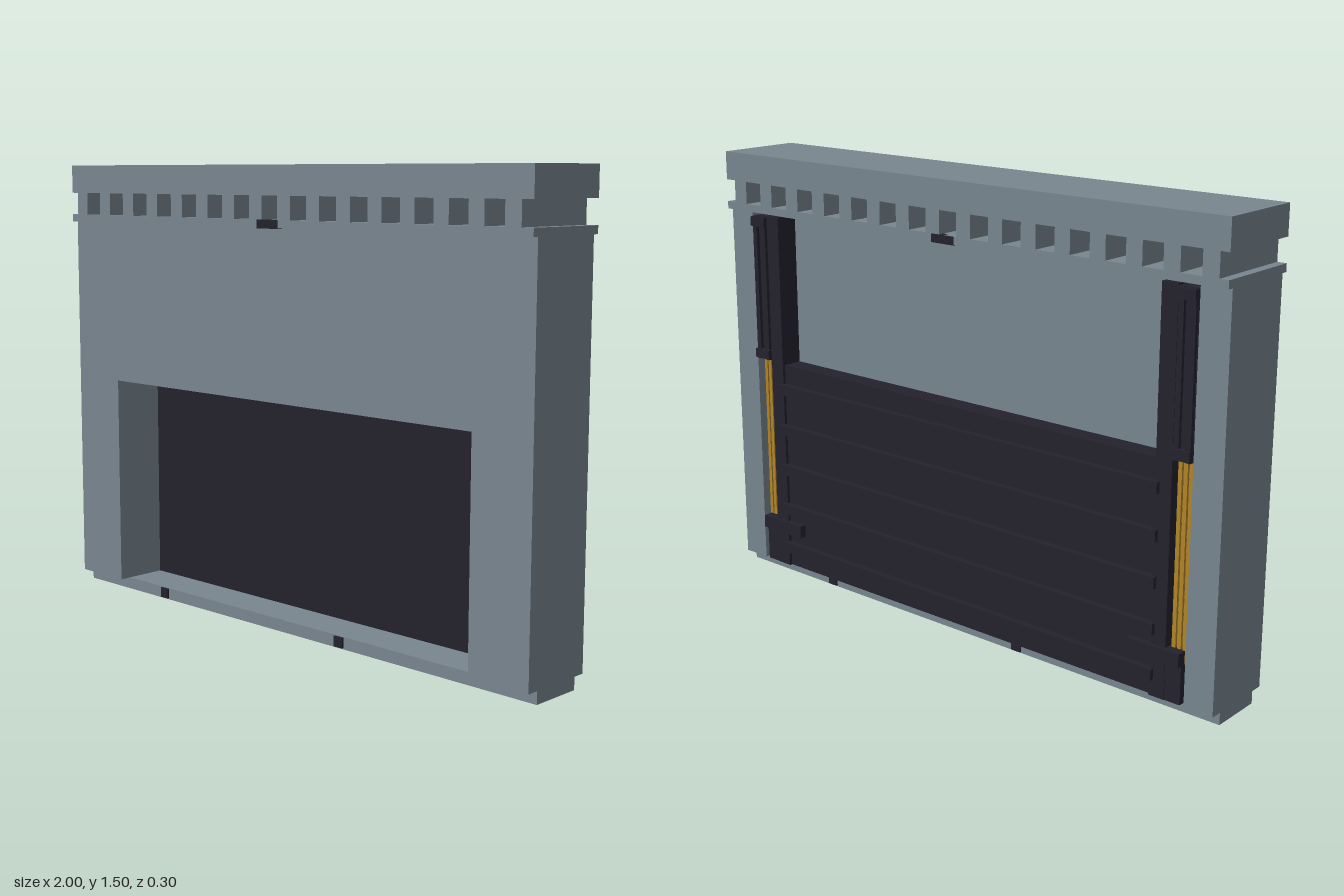
import * as THREE from 'three';

const stone = new THREE.MeshStandardMaterial({ color: 0x78868f });
stone.name = 'slateStone';
const iron = new THREE.MeshStandardMaterial({ color: 0x23222d });
iron.name = 'darkIron';
const brass = new THREE.MeshStandardMaterial({ color: 0xb08428 });
brass.name = 'brass';

// Box given by its lower and upper limits on each axis
function box(parent, name, material, [x0, x1], [y0, y1], [z0, z1]) {
  const mesh = new THREE.Mesh(new THREE.BoxGeometry(Math.abs(x1 - x0), y1 - y0, z1 - z0), material);
  mesh.position.set((x0 + x1) / 2, (y0 + y1) / 2, (z0 + z1) / 2);
  mesh.name = name;
  parent.add(mesh);
  return mesh;
}

// Outline in x and y, extruded from z0 to z1
function slab(parent, name, material, points, holes, z0, z1) {
  const shape = new THREE.Shape(points.map(([x, y]) => new THREE.Vector2(x, y)));
  for (const h of holes) shape.holes.push(new THREE.Path(h.map(([x, y]) => new THREE.Vector2(x, y))));
  const geometry = new THREE.ExtrudeGeometry(shape, { depth: z1 - z0, bevelEnabled: false });
  geometry.translate(0, 0, z0);
  const mesh = new THREE.Mesh(geometry, material);
  mesh.name = name;
  parent.add(mesh);
}

function buildMasonry() {
  const g = new THREE.Group();
  g.name = 'masonry';
  box(g, 'sill', stone, [-1, 1], [0, 0.04], [-0.09, 0.09]);

  // Front wall with the doorway cut up from its foot
  slab(g, 'frontWall', stone, [
    [-0.9, 0.04], [-0.788, 0.04], [-0.788, 0.755], [0.785, 0.755],
    [0.785, 0.04], [0.9, 0.04], [0.9, 1.305], [-0.9, 1.305],
  ], [], -0.05, 0.13);
  for (const s of [-1, 1]) box(g, 'pillar', stone, [s * 0.9, s], [0.04, 1.305], [-0.13, 0.13]);

  // Crowning beam, pierced by a row of square holes and notched at its ends
  const low = 1.33, high = 1.405, holes = [];
  for (let i = 0; i < 15; i++) {
    const x = -0.881 + i * 0.125;
    holes.push([[x - 0.035, low], [x - 0.035, high], [x + 0.035, high], [x + 0.035, low]]);
  }
  slab(g, 'crownBeam', stone, [
    [-1, 1.305], [1, 1.305], [1, low], [0.96, low], [0.96, high], [1, high],
    [1, 1.5], [-1, 1.5], [-1, high], [-0.97, high], [-0.97, low], [-1, low],
  ], holes, -0.15, 0.15);
  return g;
}

function buildGate() {
  const g = new THREE.Group();
  g.name = 'gate';
  box(g, 'gatePanel', iron, [-0.8, 0.8], [0.04, 0.78], [-0.12, -0.051]);
  // Cross ribs on the back
  for (let i = 0; i < 5; i++) {
    const y = 0.112 + i * 0.146;
    box(g, 'gateRib', iron, [-0.79, 0.79], [y - 0.018, y + 0.018], [-0.144, -0.11]);
  }
  return g;
}

// Guide rail, counterweight housing and brass rods on one side
function buildLift(s) {
  const g = new THREE.Group();
  g.name = s > 0 ? 'leftLift' : 'rightLift';
  const add = (name, m, [a, b], y, z) => box(g, name, m, [s * a, s * b], y, z);
  add('guideRail', iron, [0.775, 0.83], [0.04, 1.295], [-0.13, -0.051]);
  add('housing', iron, [0.83, 0.895], [0.79, 1.29], [-0.125, -0.051]);
  for (const x of [0.835, 0.875]) add('housingStrip', iron, [x, x + 0.018], [0.79, 1.29], [-0.136, -0.12]);
  for (const y of [0.81, 1.272]) add('housingBracket', iron, [0.83, 0.895], [y - 0.016, y + 0.016], [-0.144, -0.12]);
  add('footBlock', iron, [0.825, 0.885], [0.04, 0.165], [-0.128, -0.055]);
  add('footBracket', iron, [0.7, 0.885], [0.165, 0.208], [-0.144, -0.1]);
  // Brass rods joined by short rungs
  for (const x of [0.838, 0.857, 0.876]) add('brassRod', brass, [x, x + 0.013], [0.165, 0.79], [-0.11, -0.08]);
  for (let i = 0; i < 12; i++) {
    const y = 0.23 + i * 0.046;
    add('brassRung', brass, [0.838, 0.889], [y, y + 0.018], [-0.102, -0.086]);
  }
  return g;
}

// Small iron clips, repeated on the back by a half turn
function buildClips() {
  const g = new THREE.Group();
  g.name = 'clips';
  for (const s of [1, -1]) {
    const z = (a, b) => (s > 0 ? [a, b] : [-b, -a]);
    box(g, 'beamClip', iron, [-0.06 * s, 0.03 * s], [1.303, 1.33], z(0.13, 0.152));
    for (const x of [-0.593, 0.24]) {
      box(g, 'sillClip', iron, [s * (x - 0.018), s * (x + 0.018)], [0.004, 0.038], z(0.07, 0.097));
    }
  }
  return g;
}

export function createModel() {
  const model = new THREE.Group();
  model.name = 'gatehouseWall';
  model.add(buildMasonry(), buildGate(), buildLift(1), buildLift(-1), buildClips());
  return model;
}
